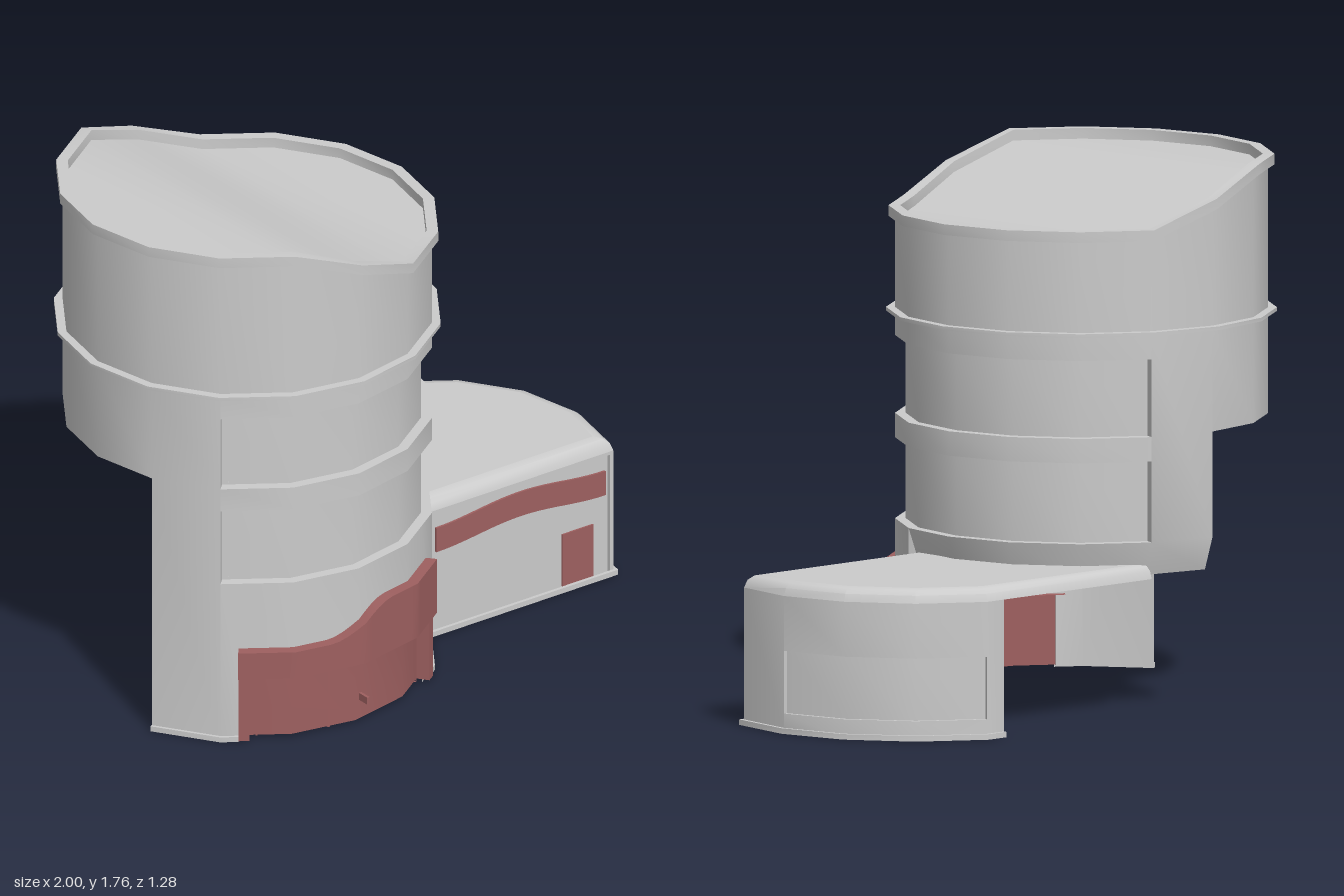
import * as THREE from 'three';
import { mergeGeometries, toCreasedNormals } from 'three/addons/utils/BufferGeometryUtils.js';

const TX = -0.375, AX = 0.375, CZ = -0.005; // tower axis, annex axis, shared z
const R = 0.605, IN = 0.57;                 // wall and recessed window radii
const RED = 0x9e6060;

// Point on a 16-sided ring: t = 0 is +x, 4 front, 8 is -x, 12 back
function ring(t, r, cx = TX) {
  const i = Math.floor(t), f = t - i, a = i * Math.PI / 8, b = a + Math.PI / 8;
  return [cx + r * (Math.cos(a) * (1 - f) + Math.cos(b) * f),
    CZ + r * (Math.sin(a) * (1 - f) + Math.sin(b) * f)];
}

// Surface through rows of [x, y, z] points
function grid(rows) {
  const pos = [];
  for (let i = 0; i + 1 < rows.length; i++) {
    for (let j = 0; j + 1 < rows[i].length; j++) {
      const a = rows[i][j], b = rows[i][j + 1], c = rows[i + 1][j + 1], d = rows[i + 1][j];
      pos.push(...a, ...c, ...b, ...a, ...d, ...c);
    }
  }
  const g = new THREE.BufferGeometry();
  g.setAttribute('position', new THREE.Float32BufferAttribute(pos, 3));
  return g;
}

// Sweep a [radius, y] profile round the ring; y may be a function of t
function sweep(t0, t1, profile, cx = TX, step = 1) {
  const ts = [t0];
  for (let k = Math.floor(t0 / step + 1e-6) + 1; k * step < t1 - 1e-6; k++) ts.push(k * step);
  ts.push(t1);
  return grid(profile.map(([r, y]) => ts.map(t => {
    const [x, z] = ring(t, r, cx);
    return [x, typeof y === 'function' ? y(t) : y, z];
  })));
}

// Upright radial quad closing the end of a sweep
function cap(t, r0, r1, y0, y1, cx = TX) {
  const a = ring(t, r0, cx), b = ring(t, r1, cx);
  return grid([[[a[0], y0, a[1]], [b[0], y0, b[1]]], [[a[0], y1, a[1]], [b[0], y1, b[1]]]]);
}

export function createModel() {
  const model = new THREE.Group();
  const material = color => new THREE.MeshStandardMaterial({ color, side: THREE.DoubleSide });
  const grey = material(0xcccccc), red = material(RED);
  const add = (name, geos, mat = grey) => {
    const g = toCreasedNormals(geos.length > 1 ? mergeGeometries(geos) : geos[0], 0.6);
    const mesh = new THREE.Mesh(g, mat);
    mesh.name = name;
    model.add(mesh);
  };
  const box = (name, x0, x1, y0, y1, z0, z1, mat = grey) => {
    const mesh = new THREE.Mesh(new THREE.BoxGeometry(x1 - x0, y1 - y0, z1 - z0), mat);
    mesh.position.set((x0 + x1) / 2, (y0 + y1) / 2, (z0 + z1) / 2);
    mesh.name = name;
    model.add(mesh);
  };

  // Roof line: high on -x, sloping down to +x
  const roofY = t => 1.765 - 0.17 * THREE.MathUtils.clamp((ring(t, 0.625)[0] + 0.614) / 0.478, 0, 1);
  const drop = d => t => roofY(t) - d;

  // Tower wall, open at the lower back, with a doorway and two window bands
  const openings = [[0.57, 0.835], [0.915, 1.17]];
  add('towerWall', [
    sweep(1, 2.4, [[R, 0], [R, 0.57]]),
    sweep(2.4, 5.6, [[R, 0.24], [R, 0.57]]),
    sweep(5.6, 6, [[R, 0], [R, 0.57]]),
    sweep(6, 7, [[R, 0], [R, 0.915], [R, 1.25]]),
    sweep(7, 12, [[R, 0.915], [R, 1.25]]),
    sweep(-4, -3, [[IN, 0.46], [R, 0.57], [R, 1.25]]),
    sweep(-3, 1, [[IN, 0.46], [R, 0.57]]),
    sweep(-3, 6, [[R, 0.57], [IN, 0.57], [IN, 0.835], [R, 0.835], [R, 0.915],
      [IN, 0.915], [IN, 1.17], [R, 1.17], [R, 1.25]]),
    ...openings.flatMap(([a, b]) => [cap(6, IN, R, a, b), cap(-3, IN, R, a, b)]),
    sweep(0, 16, [[R, 1.25], [R, drop(0.035)]]),
  ]);
  // Slim frames at the front end of each window band
  add('windowFrames', openings.map(([a, b]) =>
    sweep(5.9, 5.97, [[IN, a + 0.01], [0.582, a + 0.01], [0.582, b - 0.01], [IN, b - 0.01]])));
  add('ledge', [sweep(0, 16, [[R, 1.25], [0.634, 1.25], [0.634, 1.262], [R, 1.262]])]);
  add('towerPlinth', [1, 5.75].map((t, i) =>
    sweep(t, [2.25, 7][i], [[0.615, 0], [0.615, 0.018], [R, 0.018]])));

  // Parapet and sloping roof
  add('parapet', [sweep(0, 16, [[R, drop(0.035)], [0.626, drop(0.035)], [0.626, roofY],
    [0.588, roofY], [0.588, drop(0.035)]])]);
  const roofRows = [];
  for (let t = 0; t <= 8; t++) {
    roofRows.push([t, -t].map(s => {
      const [x, z] = ring(s, 0.588);
      return [x, roofY(t) - 0.035, z];
    }));
  }
  add('towerRoof', [grid(roofRows)]);

  // Entrance surround with a rising top edge
  const OUT = 0.643;
  const signTop = t => 0.335 + 0.1 * THREE.MathUtils.smoothstep(ring(t, OUT)[0], -0.5, -0.25);
  add('entranceSurround', [
    sweep(2.25, 5.75, [[R, signTop], [OUT, signTop], [OUT, 0.24], [IN, 0.24]], TX, 0.125),
    ...[[2.25, 2.4], [5.6, 5.75]].flatMap(([a, b]) => [
      sweep(a, b, [[0.63, 0.01], [0.63, 0.24]]),
      cap(a, R, 0.63, 0.01, 0.24), cap(b, R, 0.63, 0.01, 0.24)]),
    cap(2.25, R, OUT, 0.24, 0.435), cap(5.75, R, OUT, 0.24, 0.335),
    cap(2.4, IN, R, 0.01, 0.24), cap(5.6, IN, R, 0.01, 0.24),
  ], red);
  add('entranceDoors', [sweep(2.4, 5.6, [[0.585, 0.01], [0.585, 0.24]])], red);
  add('doorPosts', [2.5, 4.43, 5.5].map(t =>
    sweep(t - 0.015, t + 0.015, [[0.585, 0.01], [0.592, 0.01], [0.592, 0.225], [0.585, 0.225]])), red);
  box('doorHandle', -0.36, -0.35, 0.08, 0.105, 0.58, 0.625, red);

  // Annex outline inset by d: straight front, then five facets of a ring
  const outline = (d, backX) => {
    const frontZ = ring(1, R, AX)[1] - d, pts = [[0.185, frontZ], [ring(1, R - d, AX)[0], frontZ]];
    for (let t = 0; t >= -3; t--) pts.push(ring(t, R - d, AX));
    pts.push([backX, ring(-3, R - d, AX)[1]]);
    return pts;
  };
  const row = (d, y, backX) => outline(d, backX).map(([x, z]) => [x, y, z]);

  // Annex end wall with a recessed window band
  const WIN = 0.592, [stubX, stubZ] = ring(-3, R, AX);
  add('annexEndWall', [
    sweep(0, 1, [[R, 0], [R, 0.45]], AX),
    sweep(-3, 0, [[R, 0], [R, 0.065], [WIN, 0.065], [WIN, 0.27], [R, 0.27], [R, 0.45]], AX),
    cap(0, WIN, R, 0.065, 0.27, AX), cap(-3, WIN, R, 0.065, 0.27, AX),
    grid([[[0.53, 0, stubZ], [stubX, 0, stubZ]], [[0.53, 0.45, stubZ], [stubX, 0.45, stubZ]]]),
  ]);

  // Annex front: set-back wall in a frame, with door and wavy sign
  const FZ = ring(1, R, AX)[1], BZ = FZ - 0.014;
  box('annexFrontWall', 0.185, 0.93, 0, 0.45, BZ - 0.008, BZ);
  box('frontFrameLeft', 0.185, 0.213, 0, 0.45, BZ, FZ);
  box('frontFrameRight', 0.92, 0.934, 0, 0.45, BZ, FZ);
  box('frontFrameTop', 0.213, 0.92, 0.438, 0.45, BZ, FZ);
  box('annexDoor', 0.735, 0.86, 0.012, 0.2, BZ, BZ + 0.006, red);
  const wave = [], waveSteps = 20;
  for (let i = 0; i <= waveSteps; i++) {
    const u = i / waveSteps;
    wave.push([0.222 + 0.686 * u, 0.014 - 0.014 * Math.cos(u * Math.PI * 2)]);
  }
  const sign = new THREE.Shape([
    ...wave.map(([x, y]) => new THREE.Vector2(x, 0.293 + y)),
    ...wave.slice().reverse().map(([x, y]) => new THREE.Vector2(x, 0.38 + y)),
  ]);
  const signMesh = new THREE.Mesh(
    new THREE.ExtrudeGeometry(sign, { depth: 0.008, bevelEnabled: false }), red);
  signMesh.position.z = BZ;
  signMesh.name = 'waveSign';
  model.add(signMesh);

  // Annex plinth
  add('annexPlinth', [grid([row(-0.012, 0, 0.53), row(-0.012, 0.018, 0.53), row(0, 0.018, 0.53)])]);

  // Annex roof: rounded edge and flat top wrapped round the tower
  const backX = ring(-3, R)[0];
  add('annexRoofEdge', [grid([[0, 0.45], [0.008, 0.475], [0.025, 0.49], [0.05, 0.495]]
    .map(([d, y]) => row(d, y, backX)))]);
  const flat = [...outline(0.05, backX), ring(-2, IN), ring(-1, IN), ring(0, IN)];
  const roof = new THREE.Mesh(
    new THREE.ShapeGeometry(new THREE.Shape(flat.map(([x, z]) => new THREE.Vector2(x, -z)))), grey);
  roof.rotation.x = -Math.PI / 2;
  roof.position.y = 0.495;
  roof.name = 'annexRoof';
  model.add(roof);

  return model;
}
